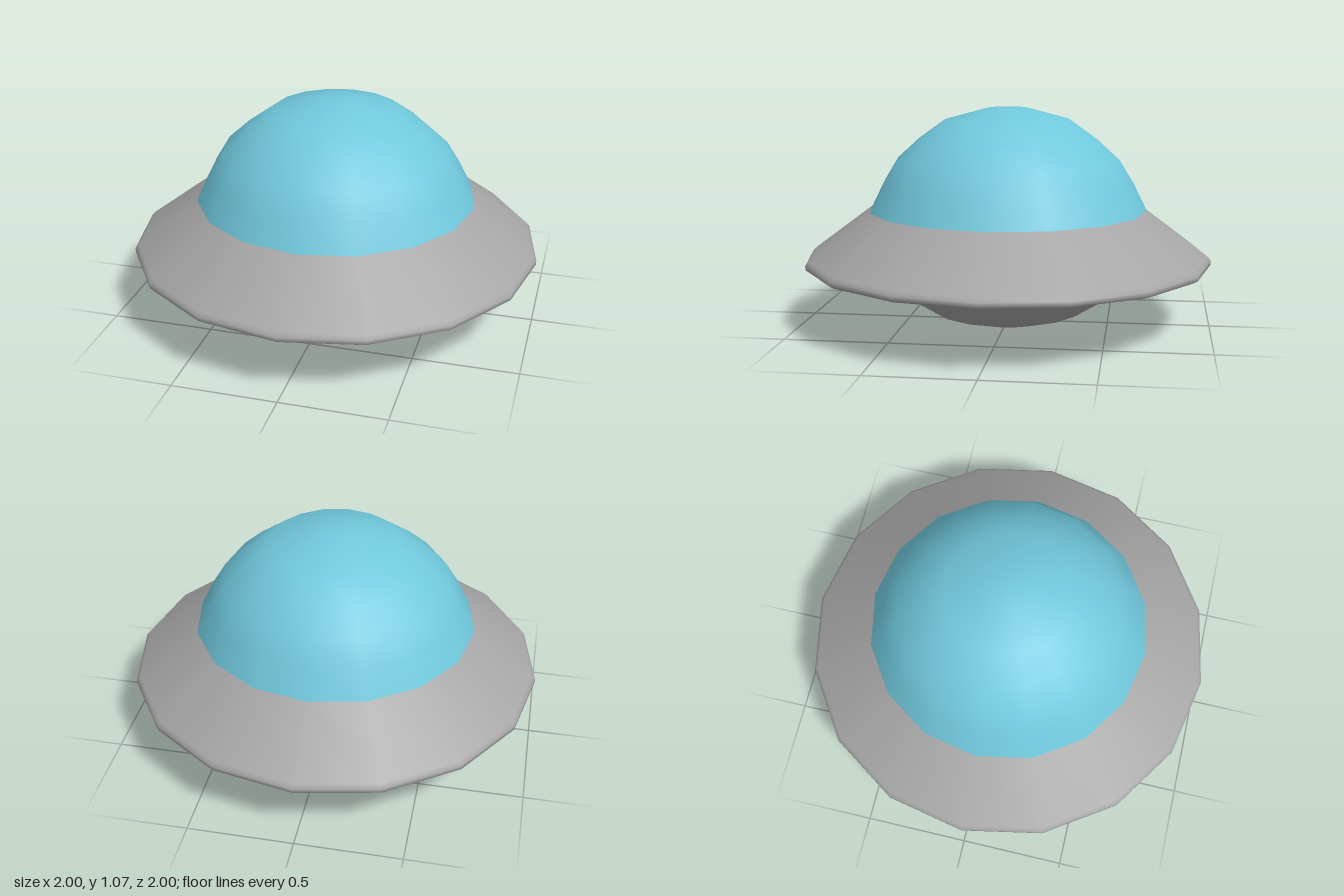
import * as THREE from 'three';

const SIDES = 16;

// Smooth 16-sided solid of revolution; profile runs from bottom to top as [radius, y]
function turned(name, profile, color) {
  const points = profile.map(([r, y]) => new THREE.Vector2(r, y));
  const mesh = new THREE.Mesh(
    new THREE.LatheGeometry(points, SIDES),
    new THREE.MeshStandardMaterial({ color })
  );
  mesh.name = name;
  return mesh;
}

export function createModel() {
  const saucer = new THREE.Group();
  saucer.name = 'saucer';

  // Hull: flat base, rounded belly, hollowed brim underside, bevelled lip, sloping brim
  saucer.add(turned('hull', [
    [0, 0], [0.16, 0], [0.37, 0.06], [0.595, 0.2], [0.7, 0.37],
    [0.985, 0.3], [1, 0.31], [1, 0.33], [0.983, 0.348], [0.685, 0.57],
  ], 0xa5a5a5));

  // Blue cockpit dome with a small flat crown
  saucer.add(turned('dome', [
    [0.685, 0.57], [0.62, 0.7], [0.55, 0.815], [0.44, 0.915],
    [0.31, 1.008], [0.1, 1.065], [0, 1.065],
  ], 0x70c8dc));

  return saucer;
}
